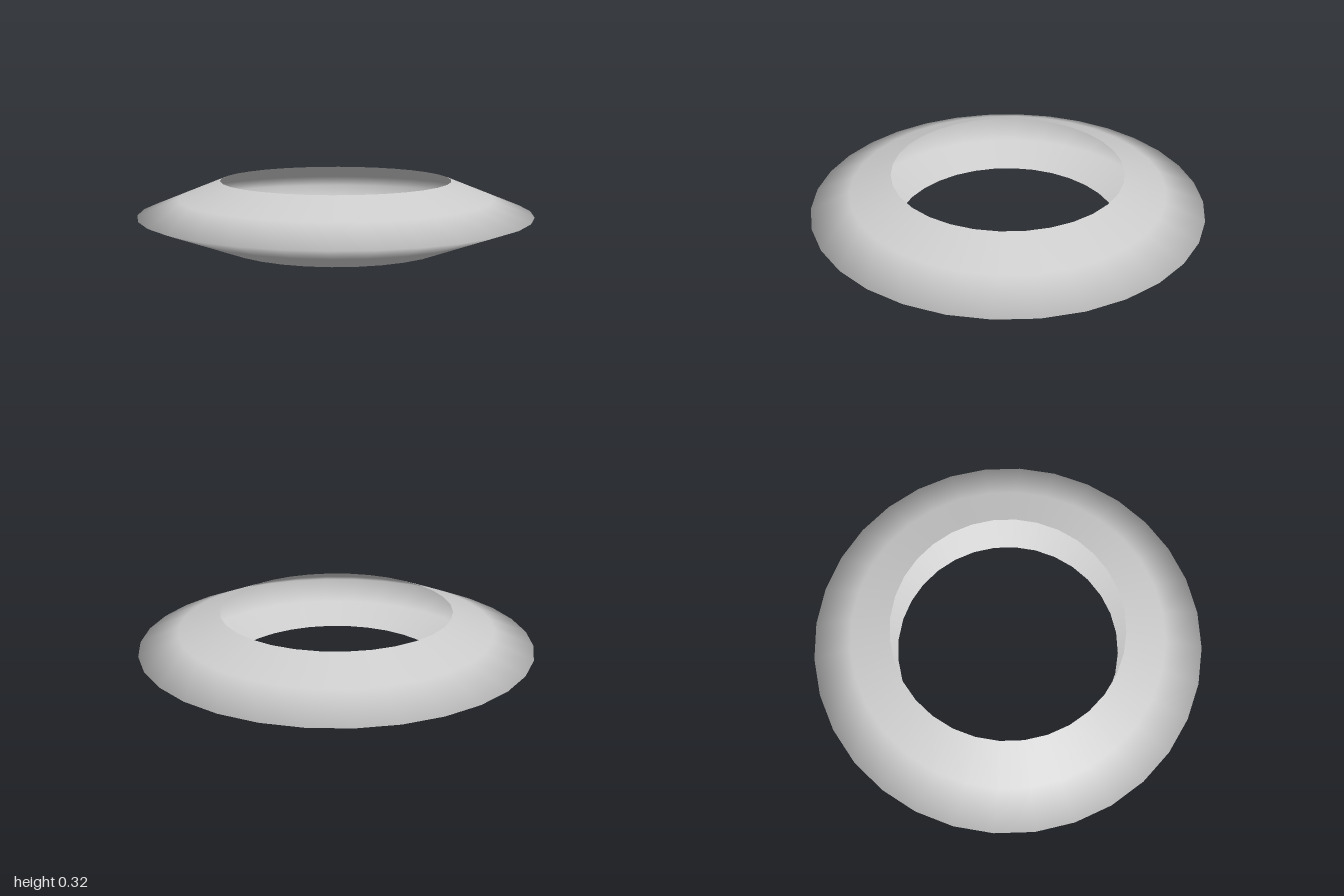
import * as THREE from 'three';

export function createModel() {
  const group = new THREE.Group();
  group.name = 'hollowRing';

  // Open bevelled shell: two shallow cones meeting at a softened outer rim
  const innerR = 0.59, midR = 0.8, outerR = 1, height = 0.325;
  const half = height / 2;
  const midRise = half * (outerR - midR) / (outerR - innerR);
  const profile = [
    [innerR, 0],
    [midR, half - midRise],
    [outerR, half],
    [midR, half + midRise],
    [innerR, height],
  ].map(([r, y]) => new THREE.Vector2(r, y));

  const material = new THREE.MeshStandardMaterial({ color: 0xcccccc, side: THREE.DoubleSide });
  const shell = new THREE.Mesh(new THREE.LatheGeometry(profile, 32), material);
  shell.name = 'ringShell';
  group.add(shell);
  return group;
}
